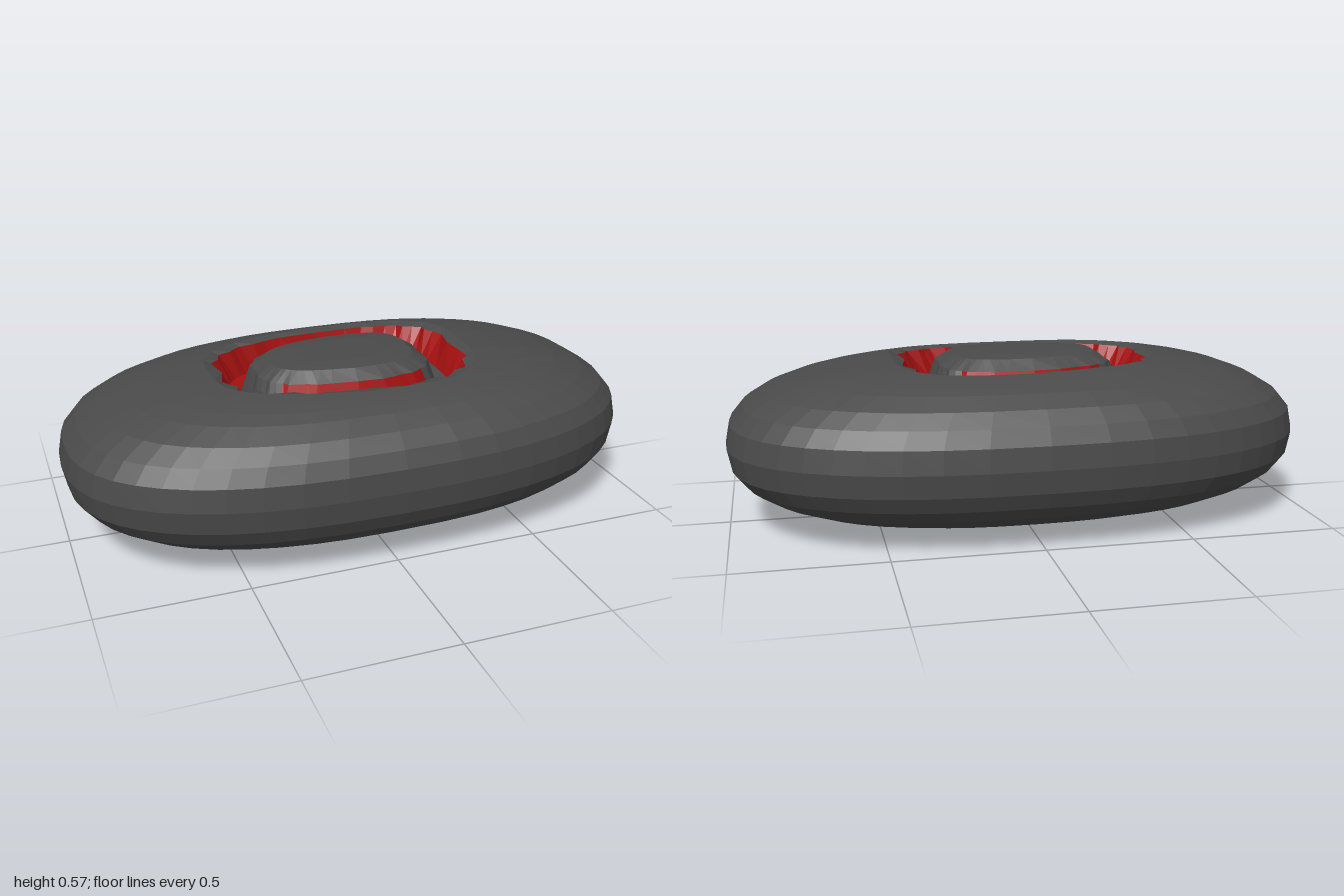
import * as THREE from 'three';

const SEG = 48, N = 2.5, HALF_Z = 0.57, HALF_Y = 0.285, MID_Y = 0.29;

const spow = (v, p) => Math.sign(v) * Math.abs(v) ** p;

// Height of the pillow's upper surface at x, z
const topY = (x, z) =>
  MID_Y + HALF_Y * Math.max(0, 1 - Math.abs(x) ** N - Math.abs(z / HALF_Z) ** N) ** (1 / N);

// Ring of rounded-rectangle points around the y axis
function ring(a, b, n, yAt, { cx = 0, cz = 0, taper = 0, jag = 0 } = {}) {
  return Array.from({ length: SEG }, (_, j) => {
    const t = (j / SEG) * Math.PI * 2;
    const u = spow(Math.cos(t), 2 / n), w = spow(Math.sin(t), 2 / n);
    const k = 1 + jag * (j % 3 - 1);
    const x = cx + a * u * k;
    const z = cz + b * w * k * (1 - taper * Math.max(0, -u));
    return new THREE.Vector3(x, yAt(x, z), z);
  });
}

// Skin stacked rings; keep(i, angle) selects which faces belong to the part
function loft(name, rings, color, keep = () => true) {
  const pos = [];
  const tri = (...pts) => pts.forEach((p) => pos.push(p.x, p.y, p.z));
  for (let i = 0; i < rings.length - 1; i++) {
    for (let j = 0; j < SEG; j++) {
      if (!keep(i, ((j + 0.5) / SEG) * Math.PI * 2)) continue;
      const k = (j + 1) % SEG, lo = rings[i], hi = rings[i + 1];
      tri(lo[j], hi[j], hi[k]);
      tri(lo[j], hi[k], lo[k]);
    }
  }
  const geo = new THREE.BufferGeometry();
  geo.setAttribute('position', new THREE.Float32BufferAttribute(pos, 3));
  geo.computeVertexNormals();
  const mesh = new THREE.Mesh(geo, new THREE.MeshStandardMaterial({
    color, flatShading: true, side: THREE.DoubleSide,
  }));
  mesh.name = name;
  return mesh;
}

export function createModel() {
  const group = new THREE.Group();
  group.name = 'pillowWithMoat';
  const grey = 0x4a4a4a, red = 0xa51010;

  // Outer shell: from the underside up to the shoulder
  const shell = [];
  for (let i = 0; i <= 12; i++) {
    const t = -Math.PI / 2 + (i / 16) * Math.PI;
    const s = spow(Math.max(0, Math.cos(t)), 2 / N);
    const y = MID_Y + HALF_Y * spow(Math.sin(t), 2 / N);
    shell.push(ring(s, s * HALF_Z, N, () => y));
  }

  // Rings of the moat, following the upper surface with a drop in height
  const moatRing = (a, b, drop, jag = 0) =>
    ring(a, b, 3.4, (x, z) => topY(x, z) - drop, { cx: -0.03, cz: 0.005, taper: 0.22, jag });
  const lip = moatRing(0.46, 0.32, 0);

  // Top surface between shoulder and lip
  const shoulder = shell[shell.length - 1];
  for (const f of [0.33, 0.67]) {
    shell.push(shoulder.map((p, j) => {
      const q = p.clone().lerp(lip[j], f);
      q.y = topY(q.x, q.z);
      return q;
    }));
  }
  shell.push(lip);
  group.add(loft('outerShell', shell, grey));

  // Moat: lip, outer wall, floor, island side
  const moat = [
    lip,
    moatRing(0.425, 0.29, 0.015, 0.025),
    moatRing(0.375, 0.265, 0.11),
    moatRing(0.335, 0.225, 0.12),
    moatRing(0.3, 0.2, 0.035, 0.015),
    moatRing(0.25, 0.16, 0.004),
  ];
  const isRed = (i, t) => {
    const c = Math.cos(t);
    if (i === 1) return true;
    if (i === 2) return c < 0.75;
    if (i === 3) return Math.abs(c) < 0.72;
    return false;
  };
  group.add(loft('moatLining', moat, red, isRed));
  group.add(loft('moatEdges', moat, grey, (i, t) => !isRed(i, t)));

  // Island top, closing at the centre
  const island = [
    moat[moat.length - 1],
    moatRing(0.15, 0.1, 0),
    moatRing(0, 0, 0),
  ];
  group.add(loft('islandTop', island, grey));
  return group;
}
